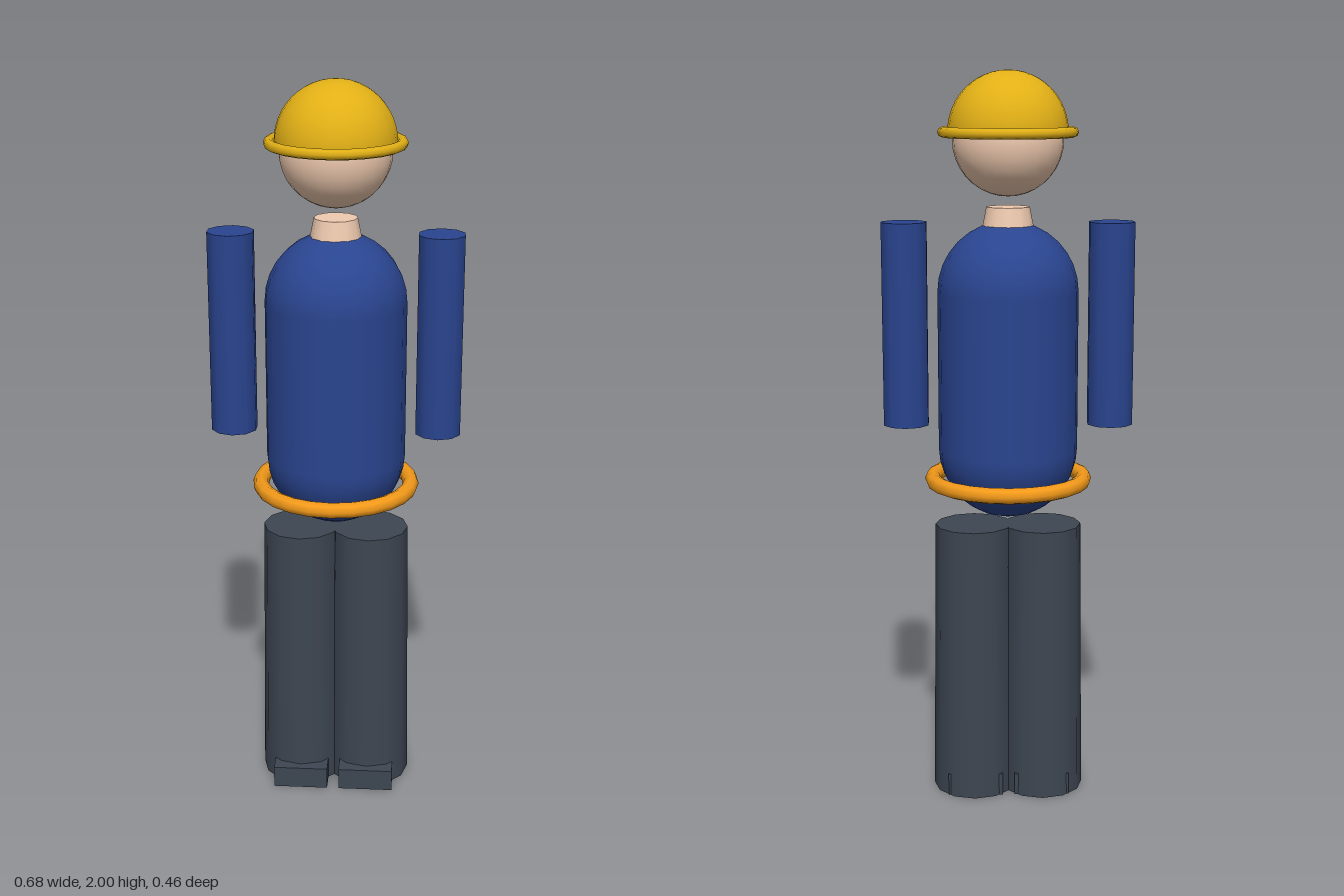
import * as THREE from 'three';

const paint = (color, side = THREE.FrontSide) => new THREE.MeshStandardMaterial({ color, side });

export function createModel() {
  const worker = new THREE.Group();
  worker.name = 'worker';

  const skin = paint(0xf0cbb0);
  const yellow = paint(0xe2b016, THREE.DoubleSide);
  const orange = paint(0xf39a1a);
  const blue = paint(0x2a4590);
  const slate = paint(0x3d4652);

  const add = (name, geometry, material, x, y, z = 0) => {
    const mesh = new THREE.Mesh(geometry, material);
    mesh.name = name;
    mesh.position.set(x, y, z);
    worker.add(mesh);
    return mesh;
  };
  // Horizontal ring
  const ring = (name, radius, tube, material, y) =>
    add(name, new THREE.TorusGeometry(radius, tube, 8, 24).rotateX(Math.PI / 2), material, 0, y);

  // Head and neck
  add('head', new THREE.SphereGeometry(0.148, 24, 18), skin, 0, 1.82);
  add('neck', new THREE.CylinderGeometry(0.058, 0.078, 0.1, 12), skin, 0, 1.595);

  // Hard hat: half dome with a rolled brim
  add('helmetDome', new THREE.SphereGeometry(0.16, 24, 12, 0, Math.PI * 2, 0, Math.PI / 2), yellow, 0, 1.84);
  ring('helmetBrim', 0.173, 0.014, yellow, 1.84);

  // Torso and tool belt
  add('torso', new THREE.CapsuleGeometry(0.19, 0.43, 8, 20), blue, 0, 1.203);
  ring('belt', 0.207, 0.022, orange, 0.903);

  // Paired limbs
  for (const [side, s] of [['left', 1], ['right', -1]]) {
    add(side + 'Arm', new THREE.CylinderGeometry(0.0635, 0.0635, 0.55, 10), blue, s * 0.278, 1.33);
    add(side + 'Leg', new THREE.CylinderGeometry(0.106, 0.116, 0.772, 12), slate, s * 0.095, 0.386);
    add(side + 'Shoe', new THREE.BoxGeometry(0.153, 0.062, 0.228), slate, s * 0.093, 0.031, 0.024);
  }
  return worker;
}
